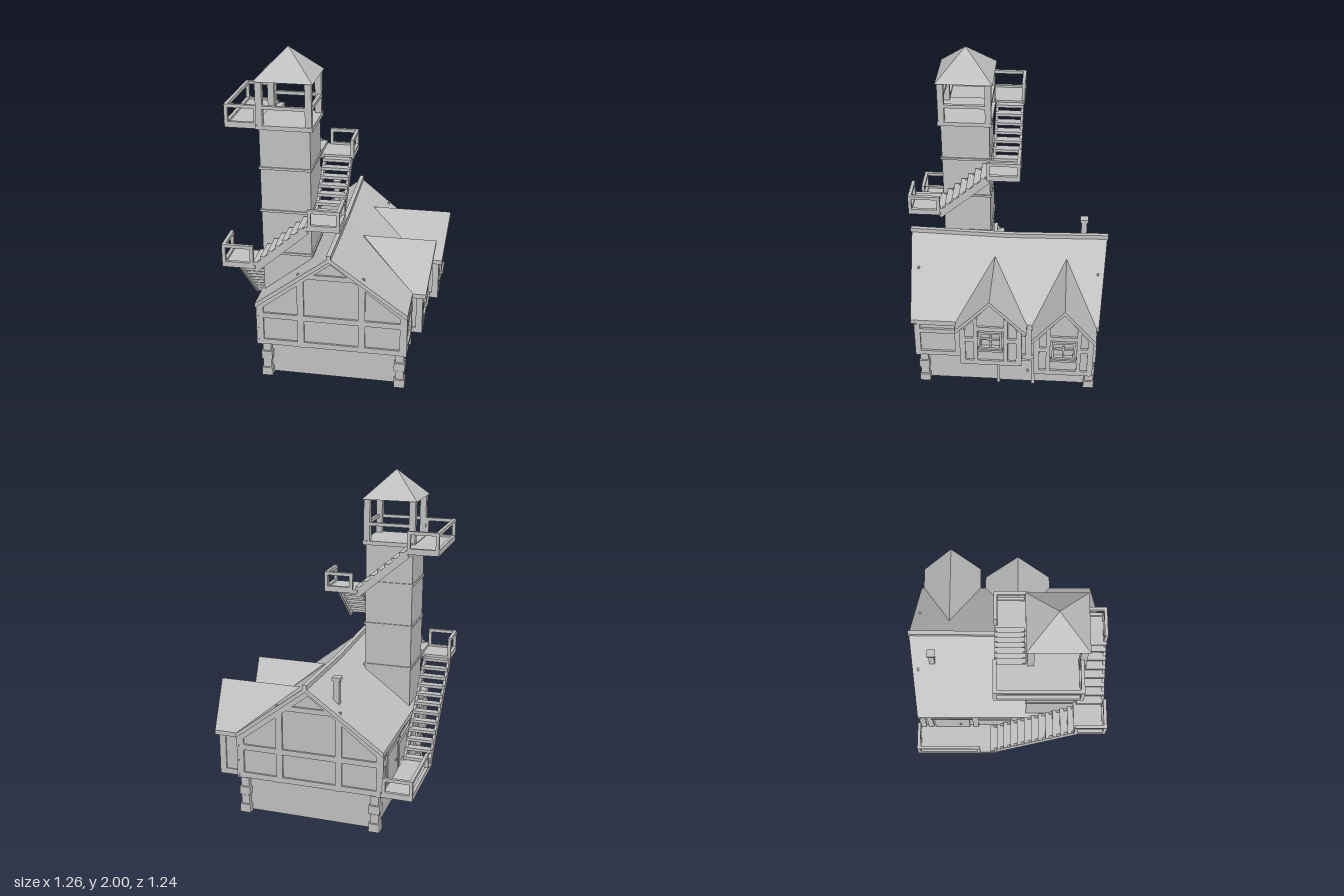
import * as THREE from 'three';

const stone = new THREE.MeshStandardMaterial({ color: 0xc0c0c0 });
stone.name = 'plain grey';
const V = (a) => new THREE.Vector3(...a);

export function createModel() {
  const model = new THREE.Group();
  let part = model;
  const begin = (name) => { part = new THREE.Group(); part.name = name; model.add(part); };
  const add = (geo, name) => {
    const m = new THREE.Mesh(geo, stone);
    m.name = name;
    part.add(m);
    return m;
  };
  // box given by its limits on each axis
  const box = (name, x0, x1, y0, y1, z0, z1) => {
    const g = new THREE.BoxGeometry(Math.abs(x1 - x0), Math.abs(y1 - y0), Math.abs(z1 - z0));
    return add(g.translate((x0 + x1) / 2, (y0 + y1) / 2, (z0 + z1) / 2), name);
  };
  // straight bar between two points
  const beam = (name, a, b, w = 0.02, h = w) => {
    const p = V(a), q = V(b);
    const m = add(new THREE.BoxGeometry(w, h, p.distanceTo(q)), name);
    m.position.copy(p).add(q).multiplyScalar(0.5);
    m.lookAt(q);
    return m;
  };
  // flat polygon thickened downwards; corners counter-clockwise from above
  const slab = (name, pts, t) => {
    const pos = [], n = pts.length;
    const low = pts.map(([x, y, z]) => [x, y - t, z]);
    const tri = (...c) => c.forEach((p) => pos.push(...p));
    for (let i = 1; i < n - 1; i++) {
      tri(pts[0], pts[i], pts[i + 1]);
      tri(low[0], low[i + 1], low[i]);
    }
    for (let i = 0; i < n; i++) {
      const j = (i + 1) % n;
      tri(pts[i], low[i], low[j]);
      tri(pts[i], low[j], pts[j]);
    }
    const g = new THREE.BufferGeometry();
    g.setAttribute('position', new THREE.Float32BufferAttribute(pos, 3));
    g.computeVertexNormals();
    return add(g, name);
  };
  // five-sided gable block, extruded along z
  const gable = (hw, y0, yEave, yTop, depth) => new THREE.ExtrudeGeometry(new THREE.Shape(
    [[-hw, y0], [hw, y0], [hw, yEave], [0, yTop], [-hw, yEave]].map((p) => new THREE.Vector2(...p))
  ), { depth, bevelEnabled: false });

  // Ground floor: hollow walls, stacked corner logs, door
  begin('groundFloor');
  box('wallFront', -0.4, 0.41, 0.01, 0.24, 0.48, 0.5);
  box('wallBack', -0.4, 0.41, 0.01, 0.24, -0.53, -0.51);
  box('wallLeft', 0.39, 0.41, 0.01, 0.24, -0.53, 0.5);
  box('wallRight', -0.4, -0.38, 0.01, 0.24, -0.53, 0.5);
  for (const sx of [-1, 1]) for (const sz of [-1, 1]) {
    const cx = 0.005 + sx * 0.405, cz = -0.012 + sz * 0.52;
    for (let i = 0; i < 4; i++) {
      const r = i % 2 ? 0.026 : 0.033;
      box('cornerLog', cx - r, cx + r, i * 0.058, i * 0.058 + 0.053, cz - r, cz + r);
    }
    box('cornerCore', cx - 0.022, cx + 0.022, 0.005, 0.23, cz - 0.022, cz + 0.022);
  }
  box('doorLeaf', 0.4, 0.415, 0.01, 0.19, -0.17, 0.03);
  for (const z of [0.04, -0.18]) box('doorPost', 0.4, 0.43, 0, 0.2, z - 0.01, z + 0.01);
  box('doorLintel', 0.4, 0.43, 0.195, 0.22, -0.195, 0.055);
  box('doorKnob', 0.41, 0.425, 0.095, 0.11, -0.15, -0.138);

  // Upper floor with timber frame
  begin('upperFloor');
  add(gable(0.44, 0.23, 0.49, 0.815, 1.1).translate(0, 0, -0.555), 'upperWalls');
  for (const [z, s] of [[0.545, 1], [-0.555, -1]]) {
    const a = z, b = z + s * 0.012;
    for (const x of [-0.43, -0.183, 0.183, 0.43]) {
      const top = Math.abs(x) > 0.3 ? 0.49 : 0.68;
      box('gablePost', x - 0.02, x + 0.02, 0.23, top, a, b);
    }
    for (const y of [0.25, 0.43]) box('gableRail', -0.45, 0.45, y - 0.017, y + 0.017, a, b);
    box('gableTie', -0.2, 0.2, 0.695, 0.725, a, b);
    for (const sx of [-1, 1]) beam('gableRafter', [sx * 0.45, 0.475, z + s * 0.004], [0, 0.823, z + s * 0.004], 0.016, 0.035);
  }
  const sideFrame = (s, posts, spans) => {
    for (const z of posts) box('sidePost', s * 0.44, s * 0.453, 0.23, 0.5, z - 0.018, z + 0.018);
    for (const [z0, z1] of spans) for (const y of [0.25, 0.43, 0.495])
      box('sideRail', s * 0.44, s * 0.453, y - 0.016, y + 0.016, z0, z1);
  };
  sideFrame(1, [0.54, 0.29, -0.15, -0.55], [[-0.56, 0.55]]);
  sideFrame(-1, [0.54, 0.3, 0.06, -0.2, -0.5, -0.55], [[-0.22, 0.55], [-0.56, -0.48]]);
  box('balconyDoor', -0.455, -0.44, 0.26, 0.46, -0.47, -0.24);
  box('balconyDoorLintel', -0.46, -0.44, 0.46, 0.485, -0.49, -0.22);
  box('balconyDoorKnob', -0.465, -0.45, 0.35, 0.362, -0.306, -0.294);

  // Main roof, slightly sagging in the middle
  begin('mainRoof');
  for (const s of [-1, 1]) for (const e of [-1, 1]) {
    const pts = [[0, 0.855, 0], [0, 0.87, e * 0.615], [s * 0.455, 0.515, e * 0.575], [s * 0.455, 0.515, 0]];
    slab('roofSlope', s * e > 0 ? pts : pts.reverse(), 0.028);
  }
  for (const e of [-1, 1]) beam('ridgeBeam', [0, 0.857, 0], [0, 0.873, e * 0.62], 0.026, 0.03);

  // Chimney
  begin('chimney');
  box('chimneyPipe', -0.163, -0.127, 0.7, 0.89, -0.488, -0.452);
  box('chimneyCap', -0.17, -0.12, 0.885, 0.905, -0.495, -0.445);

  // Two dormers on the left side
  for (const [zc, hw, wall, xe, xp, rw] of [[0.08, 0.18, 0.505, 0.535, 0.57, 0.218], [-0.365, 0.17, 0.565, 0.595, 0.627, 0.195]]) {
    begin('dormer');
    const k = 0.262 / rw;
    add(gable(hw, 0.23, 0.742 - hw * k, 0.742, wall - 0.3).rotateY(Math.PI / 2).translate(0.3, 0, zc), 'dormerWalls');
    for (const s of [-1, 1]) {
      const pts = [[0.12, 0.775, zc], [0.455, 0.513, zc + s * rw], [xe, 0.513, zc + s * rw], [xp, 0.775, zc]];
      slab('dormerRoof', s > 0 ? pts : pts.reverse(), 0.028);
      const f0 = wall, f1 = wall + 0.012, z = (d) => zc + s * d;
      box('dormerPost', f0, f1, 0.23, 0.51, z(hw - 0.025), z(hw));
      box('dormerPost', f0, f1, 0.23, 0.6, z(0.08), z(0.105));
      box('dormerRail', f0, f1, 0.415, 0.445, z(0.09), z(hw));
      beam('dormerRafter', [wall + 0.003, 0.735 - hw * k, z(hw)], [wall + 0.003, 0.735, zc], 0.018, 0.03);
      box('dormerCheekPost', wall - 0.03, wall + 0.01, 0.23, 0.51, z(hw - 0.005), z(hw + 0.01));
      box('dormerCheekRail', 0.44, wall, 0.23, 0.265, z(hw - 0.005), z(hw + 0.008));
      box('windowJamb', f0, wall + 0.022, 0.37, 0.5, z(0.057), z(0.07));
    }
    box('dormerBottomRail', wall, wall + 0.012, 0.23, 0.265, zc - hw, zc + hw);
    box('dormerTopRail', wall, wall + 0.012, 0.505, 0.535, zc - 0.1, zc + 0.1);
    for (const y of [0.37, 0.488]) box('windowFrame', wall, wall + 0.022, y, y + 0.014, zc - 0.07, zc + 0.07);
    box('windowMullion', wall, wall + 0.014, 0.37, 0.5, zc - 0.005, zc + 0.005);
    box('windowCrossbar', wall, wall + 0.014, 0.435, 0.445, zc - 0.065, zc + 0.065);
    box('windowSill', wall, wall + 0.032, 0.355, 0.37, zc - 0.077, zc + 0.077);
  }

  // Watch tower
  begin('tower');
  const tx = -0.283, tz = 0.275;
  const square = (name, r, y0, y1) => box(name, tx - r, tx + r, y0, y1, tz - r, tz + r);
  square('towerShaft', 0.147, 0.45, 1.56);
  for (const y of [0.785, 1.055, 1.32]) square('towerBand', 0.155, y - 0.007, y + 0.007);
  square('towerDeck', 0.164, 1.555, 1.58);
  for (const sx of [-1, 1]) for (const sz of [-1, 1])
    box('towerPost', tx + sx * 0.122, tx + sx * 0.16, 1.56, 1.835, tz + sz * 0.122, tz + sz * 0.16);
  const r = 0.15;
  beam('deckRail', [tx - r, 1.683, tz + r], [tx + r, 1.683, tz + r]);
  beam('deckRail', [tx + r, 1.683, tz + r], [tx + r, 1.683, tz - r]);
  beam('deckRail', [tx + r, 1.683, tz - r], [tx - r, 1.683, tz - r]);
  add(new THREE.ConeGeometry(0.17 * Math.SQRT2, 0.168, 4, 1).toNonIndexed().rotateY(Math.PI / 4)
    .translate(tx, 1.916, tz), 'towerRoof').geometry.computeVertexNormals();

  // Landings: floor limits, then the railed path in x,z
  const landing = (y, [x0, x1, z0, z1], path, h = 0.12) => {
    begin('landing');
    box('landingFloor', x0, x1, y - 0.022, y, z0, z1);
    path.forEach(([x, z], i) => {
      box('railPost', x - 0.01, x + 0.01, y - 0.01, y + h, z - 0.01, z + 0.01);
      if (!i) return;
      const [px, pz] = path[i - 1];
      beam('handRail', [px, y + h - 0.01, pz], [x, y + h - 0.01, z]);
      beam('footRail', [px, y, pz], [x, y, z], 0.02, 0.025);
    });
  };
  landing(0.265, [-0.63, -0.44, -0.585, -0.06], [[-0.46, -0.575], [-0.62, -0.575], [-0.62, -0.18]], 0.1);
  landing(0.79, [-0.625, -0.43, 0.42, 0.615], [[-0.615, 0.43], [-0.615, 0.605], [-0.45, 0.605]]);
  landing(1.055, [-0.14, 0.065, 0.42, 0.615], [[-0.11, 0.605], [0.055, 0.605], [0.055, 0.43]], 0.105);
  landing(1.315, [-0.14, 0.065, -0.07, 0.13], [[0.055, 0.12], [0.055, -0.06], [-0.1, -0.06]], 0.1);
  landing(1.575, [-0.63, -0.43, -0.07, 0.42], [[-0.45, -0.06], [-0.62, -0.06], [-0.62, 0.41], [-0.45, 0.41]], 0.115);

  // Stair flights: start and end of the centre line, with stringers and treads
  const flight = (a, b, n) => {
    begin('stairs');
    const p = V(a), q = V(b), dir = q.clone().sub(p);
    const alongX = Math.abs(dir.x) > Math.abs(dir.z);
    const w = 0.078, d = Math.hypot(dir.x, dir.z) / n * 0.5 + 0.003;
    for (const s of [-1, 1]) {
      const off = alongX ? [0, -0.025, s * w] : [s * w, -0.025, 0];
      beam('stringer', p.clone().add(V(off)).toArray(), q.clone().add(V(off)).toArray(), 0.016, 0.045);
    }
    for (let i = 0; i < n; i++) {
      const c = p.clone().addScaledVector(dir, (i + 0.5) / n);
      const [dx, dz] = alongX ? [d, w + 0.008] : [w + 0.008, d];
      box('tread', c.x - dx, c.x + dx, c.y - 0.012, c.y + 0.006, c.z - dz, c.z + dz);
    }
  };
  flight([-0.538, 0.26, -0.1], [-0.538, 0.79, 0.43], 12);
  flight([-0.44, 0.785, 0.525], [-0.13, 1.055, 0.525], 7);
  flight([-0.03, 1.05, 0.43], [-0.03, 1.315, 0.125], 7);
  flight([-0.13, 1.31, 0.022], [-0.44, 1.575, 0.022], 7);

  return model;
}
